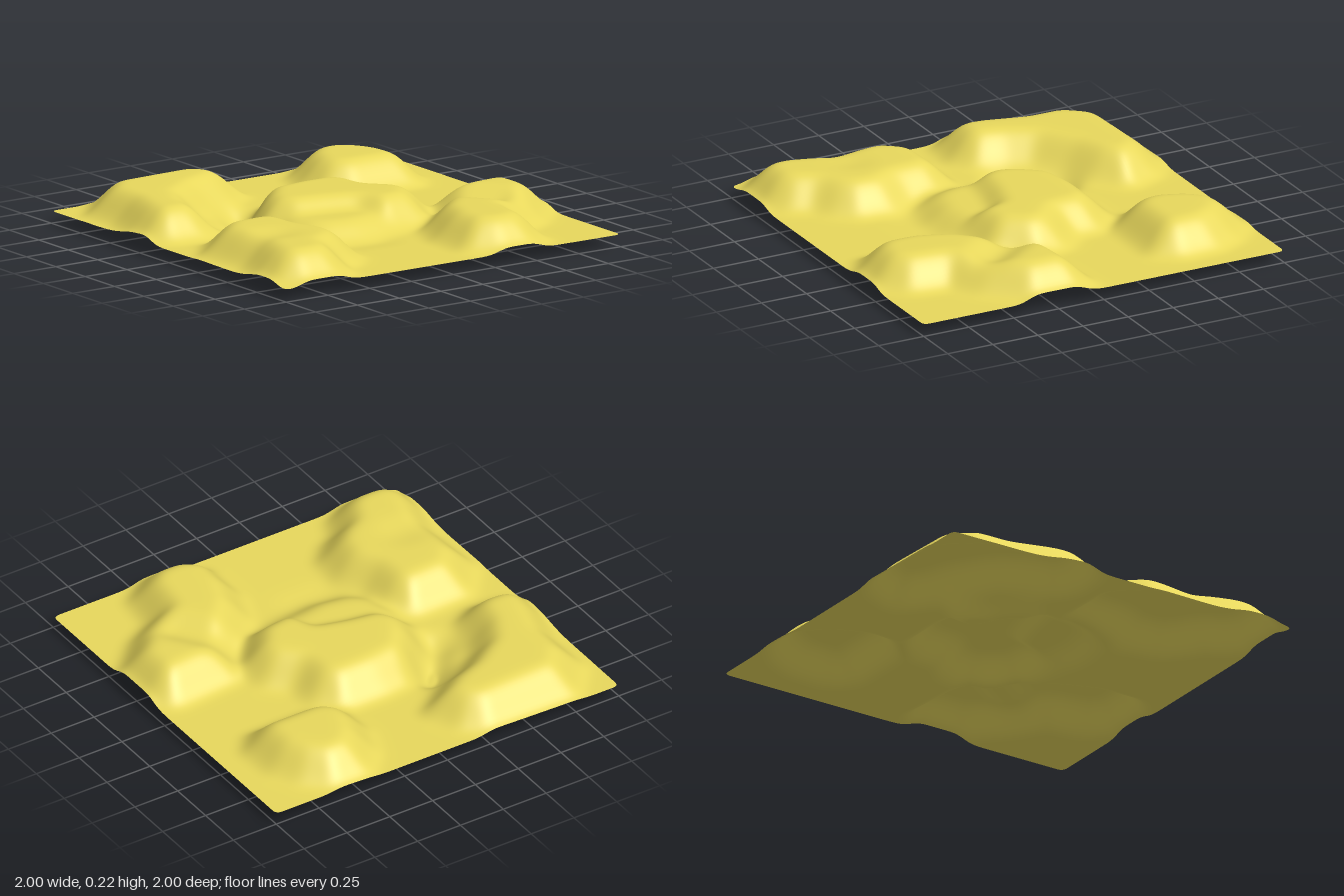
import * as THREE from 'three';

const GROUND = 0.062, RISE = 0.153, HALF_SLOPE = 0.1, CORNER = 0.03, CELLS = 140;

// Hill outlines at mid-slope, as [x, z] corners, with a height above the ground
const hills = [
  { // back left
    rise: RISE,
    outline: [[-0.88, -0.55], [-0.88, -0.75], [-0.75, -0.91], [-0.27, -0.93], [-0.18, -0.86], [-0.12, -0.72],
      [-0.24, -0.62], [-0.4, -0.56], [-0.56, -0.45], [-0.63, -0.32], [-0.66, -0.18], [-0.74, -0.13], [-0.9, -0.14],
      [-0.95, -0.2], [-0.94, -0.33]],
  },
  { // back right
    rise: RISE,
    outline: [[0.3, -0.65], [0.36, -0.8], [0.46, -0.91], [0.62, -0.92], [0.73, -0.82], [0.79, -0.7], [0.8, -0.52],
      [0.74, -0.44], [0.41, -0.44], [0.31, -0.52]],
  },
  { // centre
    rise: RISE,
    outline: [[-0.2, -0.36], [0, -0.39], [0.22, -0.39], [0.3, -0.3], [0.31, -0.15], [0.42, -0.04], [0.44, 0.08],
      [0.32, 0.25], [0.1, 0.28], [0.04, 0.13], [-0.1, 0.09], [-0.28, 0.06], [-0.36, -0.06], [-0.32, -0.2]],
  },
  { // terrace in front of the centre hill
    rise: 0.085,
    outline: [[-0.38, 0.08], [-0.34, 0.24], [-0.26, 0.31], [-0.1, 0.34], [0.15, 0.3], [0.1, -0.1], [-0.3, -0.1]],
  },
  { // front left
    rise: RISE,
    outline: [[-0.9, 0.25], [-0.78, 0.1], [-0.5, 0.09], [-0.44, 0.18], [-0.43, 0.35], [-0.37, 0.48], [-0.38, 0.63],
      [-0.45, 0.71], [-0.55, 0.77], [-0.6, 0.88], [-0.68, 0.94], [-0.86, 0.94], [-0.94, 0.87], [-0.94, 0.75],
      [-0.88, 0.55]],
  },
  { // front right
    rise: RISE,
    outline: [[0.56, 0.11], [0.9, 0.08], [0.95, 0.15], [0.95, 0.37], [0.78, 0.54], [0.61, 0.64], [0.58, 0.85],
      [0.48, 0.94], [0.32, 0.94], [0.2, 0.86], [0.2, 0.65], [0.27, 0.46], [0.44, 0.28]],
  },
];

// Hollows along a line from a to b
const hollows = [
  { a: [-0.43, -0.22], b: [-0.27, -0.4], width: 0.15, depth: 0.055 },
  { a: [-0.31, -0.39], b: [-0.28, -0.43], width: 0.13, depth: 0.03 },
  { a: [-0.2, 0.43], b: [-0.05, 0.43], width: 0.15, depth: 0.01 },
  { a: [0.52, 0.25], b: [0.66, 0.44], width: 0.16, depth: 0.05 },
  { a: [-0.75, 0.5], b: [-0.7, 0.5], width: 0.16, depth: 0.015 },
];

function segmentDistance(x, z, [ax, az], [bx, bz]) {
  const dx = bx - ax, dz = bz - az;
  const t = THREE.MathUtils.clamp(((x - ax) * dx + (z - az) * dz) / (dx * dx + dz * dz), 0, 1);
  return Math.hypot(x - ax - t * dx, z - az - t * dz);
}

// Distance to an outline, positive inside
function insideDistance(x, z, outline) {
  let d = Infinity, inside = false;
  outline.forEach((a, i) => {
    const b = outline[(i + 1) % outline.length];
    d = Math.min(d, segmentDistance(x, z, a, b));
    if ((a[1] > z) !== (b[1] > z) && x < a[0] + (z - a[1]) * (b[0] - a[0]) / (b[1] - a[1])) inside = !inside;
  });
  return inside ? d : -d;
}

function heightAt(x, z) {
  let h = 0;
  for (const { rise, outline } of hills) {
    const d = insideDistance(x, z, outline);
    h = Math.max(h, rise * THREE.MathUtils.smoothstep(d, -HALF_SLOPE, HALF_SLOPE));
  }
  for (const { a, b, width, depth } of hollows) {
    h -= depth * (1 - THREE.MathUtils.smoothstep(segmentDistance(x, z, a, b), 0, width));
  }
  return GROUND + h;
}

// Average each height with its neighbours along one direction, to round the hills
function blur(heights, stepX, stepZ) {
  const n = CELLS + 1, reach = 2;
  const clamp = (v) => THREE.MathUtils.clamp(v, 0, CELLS);
  return heights.map((_, i) => {
    const col = i % n, row = Math.floor(i / n);
    let sum = 0;
    for (let k = -reach; k <= reach; k++) sum += heights[clamp(row + k * stepZ) * n + clamp(col + k * stepX)];
    return sum / (2 * reach + 1);
  });
}

export function createModel() {
  const group = new THREE.Group();
  group.name = 'terrain';
  const geometry = new THREE.PlaneGeometry(2, 2, CELLS, CELLS).rotateX(-Math.PI / 2);
  const p = geometry.attributes.position;
  let heights = Array.from({ length: p.count }, (_, i) => heightAt(p.getX(i), p.getZ(i)));
  for (let pass = 0; pass < 2; pass++) heights = blur(blur(heights, 1, 0), 0, 1);

  for (let i = 0; i < p.count; i++) {
    let x = p.getX(i), z = p.getZ(i);
    // Round the four corners of the sheet
    const u = Math.abs(x) - (1 - CORNER), v = Math.abs(z) - (1 - CORNER);
    if (u > 0 && v > 0) {
      const k = Math.max(u, v) / Math.hypot(u, v);
      x = Math.sign(x) * (1 - CORNER + u * k);
      z = Math.sign(z) * (1 - CORNER + v * k);
    }
    p.setXYZ(i, x, Math.max(0, heights[i]), z);
  }
  geometry.computeVertexNormals();
  const material = new THREE.MeshStandardMaterial({ color: 0xe8d85c, side: THREE.DoubleSide });
  const ground = new THREE.Mesh(geometry, material);
  ground.name = 'hillyGround';
  group.add(ground);
  return group;
}
